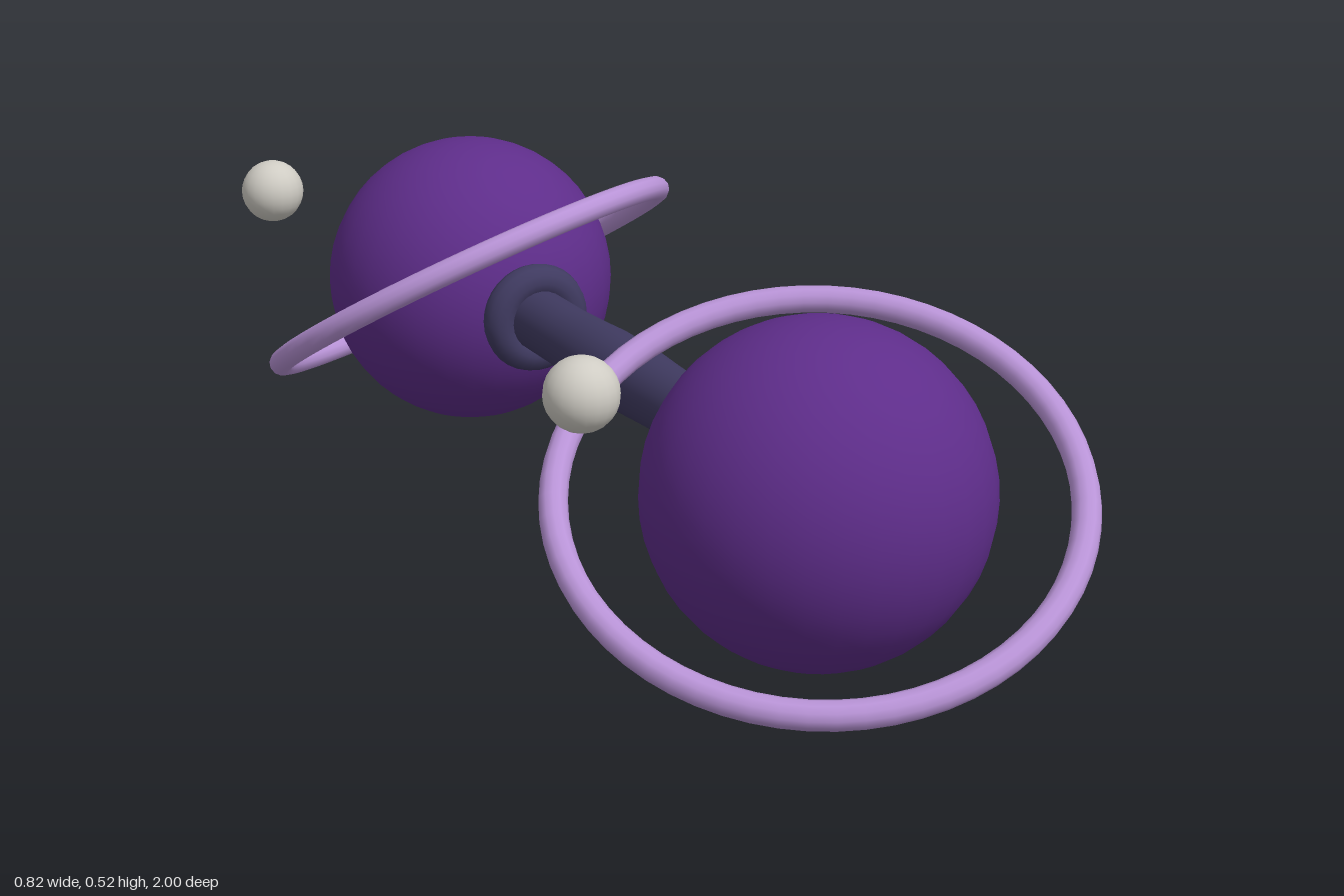
import * as THREE from 'three';

export function createModel() {
  const material = (name, color) => {
    const m = new THREE.MeshStandardMaterial({ color });
    m.name = name;
    return m;
  };
  const purple = material('deep purple', 0x5e2d8a);
  const lilac = material('lilac', 0xb893d6);
  const slate = material('dark slate', 0x3f3a60);
  const stone = material('pale stone', 0xcfccc4);

  const model = new THREE.Group();
  model.name = 'planetDumbbell';
  const add = (name, geometry, mat, x, y, z) => {
    const mesh = new THREE.Mesh(geometry, mat);
    mesh.name = name;
    mesh.position.set(x, y, z);
    model.add(mesh);
    return mesh;
  };

  const CX = 0.017, CY = 0.262;

  // Handle with a slight swell at the grip
  const profile = [[0.054, -0.42], [0.054, -0.2], [0.057, -0.12], [0.0605, -0.05],
    [0.0605, 0.05], [0.057, 0.12], [0.054, 0.2], [0.054, 0.42]]
    .map(([r, y]) => new THREE.Vector2(r, y));
  add('handle', new THREE.LatheGeometry(profile, 24), slate, CX, CY, 0).rotation.x = Math.PI / 2;

  const planetGeo = new THREE.SphereGeometry(0.26, 32, 24);
  const ringGeo = new THREE.TorusGeometry(0.383, 0.0215, 12, 64).rotateX(Math.PI / 2);
  const moonGeo = new THREE.SphereGeometry(0.054, 20, 14);
  const collarGeo = new THREE.TorusGeometry(0.067, 0.03, 12, 32);

  // Each end: planet weight, tilted ring, moon and collar, mirrored front to back
  for (const [side, s] of [['front', 1], ['back', -1]]) {
    add(side + 'Planet', planetGeo, purple, CX, CY, s * 0.633);
    add(side + 'Ring', ringGeo, lilac, CX, CY, s * 0.635).rotation.set(s * 0.477, 0, 0.256);
    add(side + 'Moon', moonGeo, stone, -0.36, 0.468, s * 0.633);
    add(side + 'Collar', collarGeo, slate, CX, CY, s * 0.345);
  }
  return model;
}
